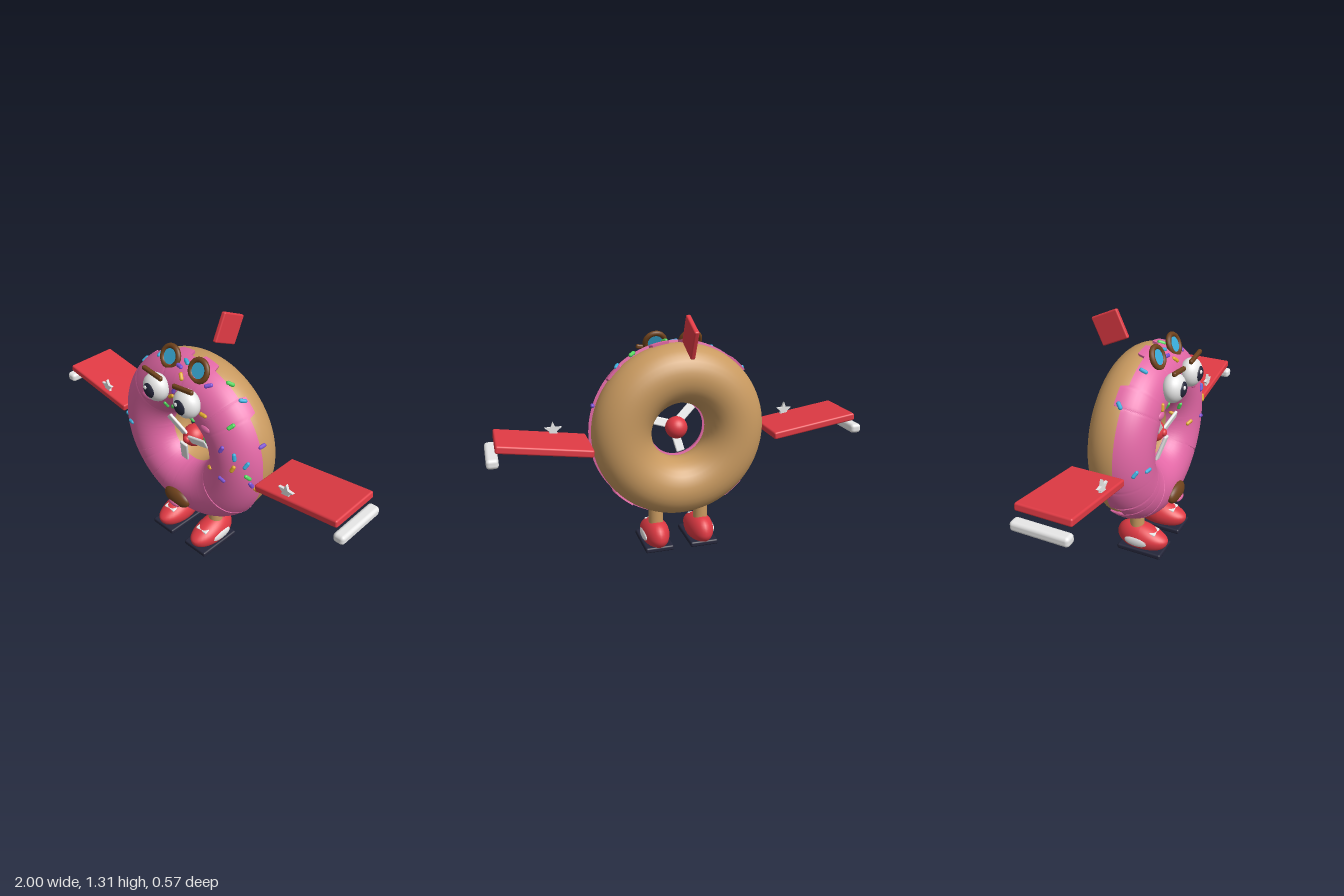
import * as THREE from 'three';
import { toCreasedNormals } from 'three/addons/utils/BufferGeometryUtils.js';
import { RoundedBoxGeometry } from 'three/addons/geometries/RoundedBoxGeometry.js';

const paint = (name, color) => Object.assign(new THREE.MeshStandardMaterial({ color }), { name });
const M = {
  icing: paint('icing pink', 0xe267a5),
  dough: paint('dough tan', 0xc99a60),
  red: paint('red', 0xe03a44),
  white: paint('white', 0xeeeeee),
  dark: paint('dark navy', 0x24263a),
  brown: paint('brown', 0x6e421c),
  blue: paint('sky blue', 0x3aaedd),
  yellow: paint('yellow', 0xe0aa2c),
  green: paint('green', 0x52d85e),
  purple: paint('purple', 0x7c50d4),
};
M.icing.side = THREE.DoubleSide;

const CY = 0.68;                                  // height of the ring centre
const ICE = { R: 0.312, r: 0.167, z: 0.035 };     // icing ring

function add(parent, name, geo, mat, pos, rot = [0, 0, 0], scale = [1, 1, 1]) {
  const mesh = new THREE.Mesh(geo, mat);
  mesh.name = name;
  mesh.position.set(...pos);
  mesh.rotation.set(...rot);
  mesh.scale.set(...scale);
  parent.add(mesh);
  return mesh;
}
const ball = new THREE.SphereGeometry(1, 32, 20);
const rbox = (x, y, z, r) => new RoundedBoxGeometry(x, y, z, 3, r);

// Front shell of the ring, its back edge stepped into square drips
function icingGeometry() {
  // start degree, end degree, z of the edge
  const drips = [[38, 51, 0.03], [73, 85, 0.03], [92, 104, 0.03], [129, 142, 0.03],
    [196, 212, 0.02], [222, 238, -0.015], [252, 264, 0.03], [290, 304, 0.03], [304, 321, -0.015]];
  const rows = 24;
  const geo = new THREE.PlaneGeometry(1, 1, 240, rows);
  const p = geo.attributes.position;
  for (let i = 0; i < p.count; i++) {
    const deg = (p.getX(i) + 0.5) * 360, a = deg * Math.PI / 180;
    const row = Math.round((p.getY(i) + 0.5) * rows);
    const drip = drips.find(d => deg >= d[0] && deg <= d[1]);
    const start = Math.asin(((drip ? drip[2] : 0.07) - ICE.z) / ICE.r);
    const end = Math.PI - 0.2;
    const t = THREE.MathUtils.clamp((row - 1) / (rows - 2), 0, 1);
    const b = start + (end - start) * t;
    const lip = row === 0 || row === rows ? 0.145 : ICE.r;
    const rad = ICE.R + lip * Math.cos(b);
    p.setXYZ(i, rad * Math.cos(a), rad * Math.sin(a), lip * Math.sin(b));
  }
  return toCreasedNormals(geo, 0.6);
}

// Sphere made low at the toe and high at the heel
function shoeGeometry() {
  const geo = new THREE.SphereGeometry(1, 32, 24);
  const p = geo.attributes.position;
  for (let i = 0; i < p.count; i++) {
    const y = p.getY(i), z = p.getZ(i);
    p.setXYZ(i, p.getX(i) * 0.076, y > 0 ? y * 0.08 * (1 - 0.42 * z) : y * 0.082, z * 0.148);
  }
  geo.computeVertexNormals();
  return geo;
}

function starGeometry() {
  const s = new THREE.Shape();
  for (let i = 0; i < 10; i++) {
    const a = Math.PI / 2 + i * Math.PI / 5, r = i % 2 ? 0.02 : 0.046;
    s[i ? 'lineTo' : 'moveTo'](r * Math.cos(a), r * Math.sin(a));
  }
  return new THREE.ExtrudeGeometry(s, { depth: 0.015, bevelEnabled: false });
}

// Candy pieces lying on the icing, by colour, as x, y pairs
function addSprinkles(root) {
  const spots = {
    blue: [-0.37, 0.985, -0.42, 0.665, -0.35, 0.66, -0.465, 0.6, 0.38, 0.8, 0.43, 0.76, 0.325, 1.045, 0, 1.14, -0.2, 1.1],
    yellow: [0.38, 0.735, 0.22, 0.65, 0.155, 0.72, 0.46, 0.6, -0.2, 0.93, -0.02, 0.975, 0.195, 0.965, 0.02, 1.09],
    green: [0.16, 0.77, 0.335, 0.945, 0.24, 1.1, 0.44, 0.69, -0.085, 0.885, -0.04, 0.893, 0.015, 0.893, 0.11, 0.9, 0.06, 1.15],
    purple: [0.315, 0.825, 0.45, 0.84, 0.325, 0.65, 0.45, 0.64, 0, 1.02, 0.17, 1.09, -0.02, 1.12],
  };
  const geo = new THREE.CapsuleGeometry(0.0105, 0.024, 4, 8);
  const group = new THREE.Group();
  group.name = 'sprinkles';
  root.add(group);
  let k = 0;
  for (const [color, xy] of Object.entries(spots)) {
    for (let i = 0; i < xy.length; i += 2) {
      const a = Math.atan2(xy[i + 1] - CY, xy[i]);
      const c = THREE.MathUtils.clamp((Math.hypot(xy[i], xy[i + 1] - CY) - ICE.R) / ICE.r, -0.97, 0.99);
      const s = Math.sqrt(1 - c * c);
      const n = new THREE.Vector3(c * Math.cos(a), c * Math.sin(a), s);
      const rad = ICE.R + ICE.r * c;
      const m = add(group, color + 'Sprinkle', geo, M[color],
        [rad * Math.cos(a), CY + rad * Math.sin(a), ICE.z + ICE.r * s]);
      m.quaternion.setFromUnitVectors(new THREE.Vector3(0, 0, 1), n);
      m.rotateZ(k++ * 2.4);
    }
  }
}

export function createModel() {
  const root = new THREE.Group();
  root.name = 'flyingDoughnut';

  // Body
  add(root, 'dough', new THREE.TorusGeometry(0.31, 0.157, 32, 80), M.dough, [0, CY, 0.024]);
  add(root, 'icing', icingGeometry(), M.icing, [0, CY, ICE.z]);
  addSprinkles(root);

  // Propeller in the hole
  const prop = new THREE.Group();
  prop.name = 'propeller';
  prop.position.set(0, CY, 0);
  root.add(prop);
  add(prop, 'hub', ball, M.red, [0, 0, 0.065], [0, 0, 0], [0.06, 0.06, 0.062]);
  add(prop, 'hubCap', ball, M.red, [0, 0, 0.125], [0, 0, 0], [0.02, 0.02, 0.015]);
  for (const deg of [17, 137, 257]) {
    const a = deg * Math.PI / 180;
    add(prop, 'blade', rbox(0.145, 0.048, 0.016, 0.007), M.white,
      [0.085 * Math.cos(a), 0.085 * Math.sin(a), 0.12], [0.3, 0, a]);
  }

  // Mouth
  add(root, 'mouth', ball, M.brown, [0, 0.335, 0.2], [0, 0, 0], [0.09, 0.053, 0.035]);
  add(root, 'tongue', ball, M.icing, [0, 0.307, 0.217], [0, 0, 0], [0.043, 0.02, 0.022]);

  // Tail fin
  add(root, 'tailFin', rbox(0.025, 0.158, 0.158, 0.008), M.red, [0, 1.21, -0.18], [-0.43, 0, 0]);

  const shoe = shoeGeometry(), star = starGeometry();
  for (const s of [1, -1]) {
    // Eyes, brows and cheeks
    const x = s * 0.107;
    add(root, 'eye', ball, M.white, [x, 1, 0.22], [0, 0, 0], [0.075, 0.075, 0.058]);
    add(root, 'pupil', ball, M.dark, [x, 1, 0.262], [0, 0, 0], [0.04, 0.042, 0.022]);
    add(root, 'eyeGlint', ball, M.white, [x - 0.013, 1.015, 0.28], [0, 0, 0], [0.011, 0.011, 0.006]);
    add(root, 'eyebrow', rbox(0.135, 0.024, 0.022, 0.009), M.brown, [s * 0.105, 1.088, 0.243], [0, 0, s * 0.13]);
    add(root, 'cheek', ball, M.icing, [s * 0.21, 0.89, 0.199], [0, 0, 0], [0.032, 0.021, 0.012]);

    // Goggles
    const goggle = new THREE.Group();
    goggle.name = 'goggle';
    goggle.position.set(s * 0.097, 1.137, 0.128);
    goggle.rotation.x = -0.4;
    root.add(goggle);
    add(goggle, 'goggleRim', new THREE.TorusGeometry(0.052, 0.014, 12, 32), M.brown, [0, 0, 0]);
    add(goggle, 'lens', new THREE.CylinderGeometry(0.047, 0.047, 0.012, 32), M.blue, [0, 0, 0], [Math.PI / 2, 0, 0]);

    // Wings
    add(root, 'wing', rbox(0.476, 0.04, 0.29, 0.01), M.red, [s * 0.717, 0.684, -0.005], [0, 0, s * 0.148]);
    add(root, 'wingTip', rbox(0.06, 0.05, 0.295, 0.018), M.white, [s * 0.97, 0.646, -0.003]);
    add(root, 'wingStar', star, M.white, [s * 0.65, 0.711, 0.105]);

    // Legs and shoes
    const foot = new THREE.Group();
    foot.name = 'foot';
    foot.position.x = s * 0.128;
    root.add(foot);
    add(foot, 'leg', new THREE.CylinderGeometry(0.04, 0.04, 0.12, 24), M.dough, [0, 0.18, 0.03]);
    add(foot, 'shoe', shoe, M.red, [0, 0.085, 0.064]);
    add(foot, 'sole', rbox(0.158, 0.03, 0.258, 0.01), M.dark, [0, 0.027, 0.072]);
    add(foot, 'shoePatch', ball, M.white, [s * 0.066, 0.083, 0.052], [0, 0, 0], [0.014, 0.03, 0.068]);
    add(foot, 'laces', rbox(0.075, 0.016, 0.06, 0.006), M.white, [0, 0.132, 0.12], [0.15, 0, 0]);
  }
  return root;
}
